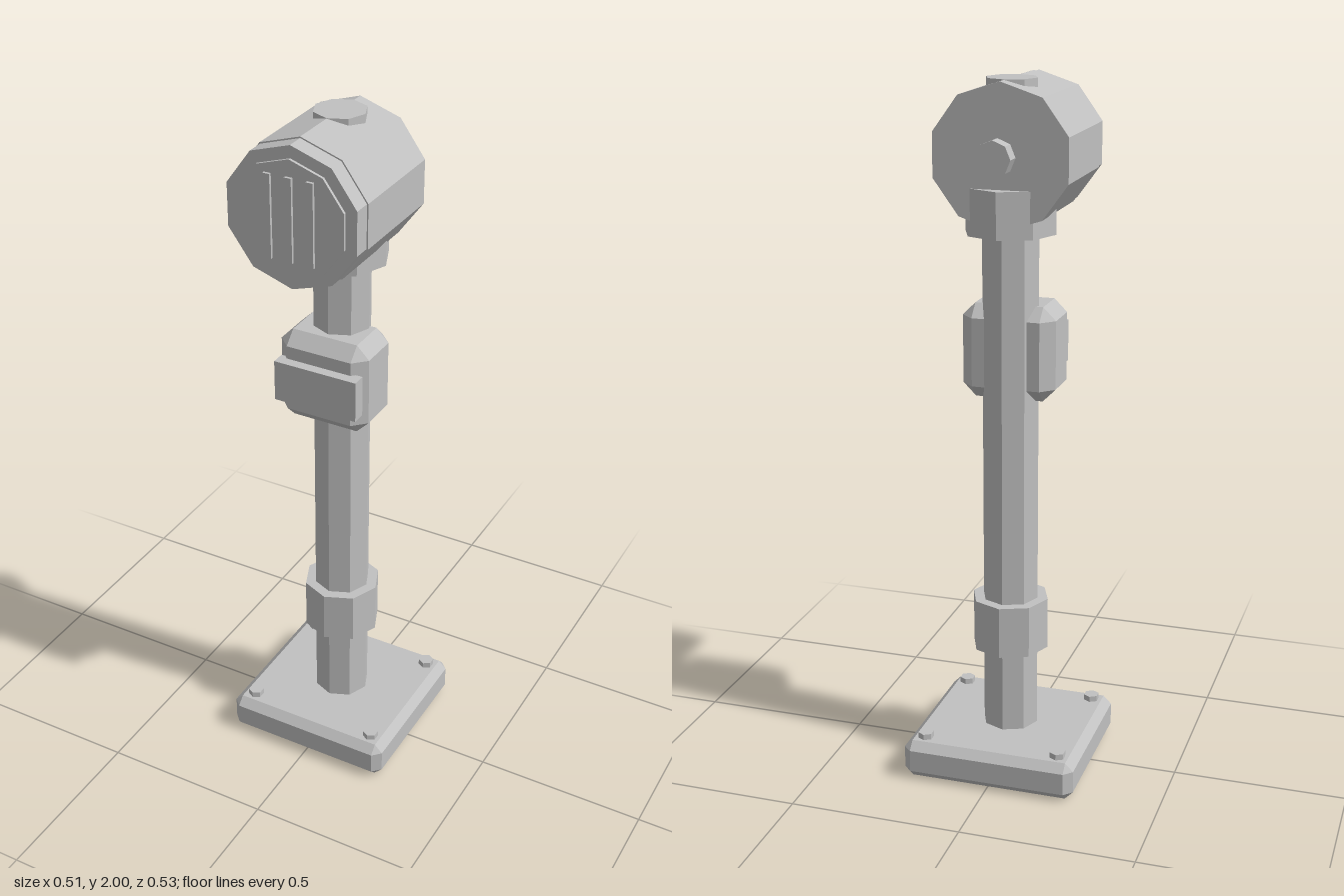
import * as THREE from 'three';
import { ConvexGeometry } from 'three/addons/geometries/ConvexGeometry.js';

const AXIS_Z = -0.02; // depth of the post's centre line

export function createModel() {
  const model = new THREE.Group();
  const grey = new THREE.MeshStandardMaterial({ color: 0xc0c0c0 });
  grey.flatShading = true;

  function add(name, geometry, x, y, z) {
    const mesh = new THREE.Mesh(geometry, grey);
    mesh.name = name;
    mesh.position.set(x, y, z);
    model.add(mesh);
    return mesh;
  }

  // Box with every edge and corner cut by c
  function chamferBox(w, h, d, c) {
    const [a, b, e] = [w / 2, h / 2, d / 2];
    const points = [];
    for (const i of [-1, 1]) for (const j of [-1, 1]) for (const k of [-1, 1]) {
      points.push(
        new THREE.Vector3(i * a, j * (b - c), k * (e - c)),
        new THREE.Vector3(i * (a - c), j * b, k * (e - c)),
        new THREE.Vector3(i * (a - c), j * (b - c), k * e));
    }
    return new ConvexGeometry(points);
  }

  // Upright prism between two heights
  function upright(name, r, y0, y1, sides, x = 0, z = AXIS_Z) {
    return add(name, new THREE.CylinderGeometry(r, r, y1 - y0, sides), x, (y0 + y1) / 2, z);
  }

  // Prism lying along z, with a corner at the top
  function lying(name, r, z0, z1, sides, y = 1.8) {
    const geometry = new THREE.CylinderGeometry(r, r, z1 - z0, sides).rotateX(-Math.PI / 2);
    return add(name, geometry, 0, y, (z0 + z1) / 2);
  }

  // Base plate and bolts
  add('basePlate', chamferBox(0.51, 0.113, 0.488, 0.024), 0, 0.0565, -0.021);
  for (const x of [-0.2, 0.2]) for (const z of [-0.21, 0.168]) {
    upright('baseBolt', 0.023, 0.1, 0.13, 6, x, z);
  }

  // Post with its collars
  upright('post', 0.082, 0.1, 1.65, 8);
  upright('lowerCollar', 0.113, 0.36, 0.513, 8);
  upright('neckCollar', 0.13, 1.585, 1.715, 8);

  // Control box with front plate
  add('controlBox', chamferBox(0.27, 0.27, 0.186, 0.037), 0, 1.25, 0.023);
  add('controlPlate', new THREE.BoxGeometry(0.25, 0.12, 0.04), 0.004, 1.25, 0.125);

  // Head, front rim and face
  lying('head', 0.199, -0.115, 0.197, 10);
  lying('frontRim', 0.195, 0.19, 0.247, 10);
  lying('face', 0.161, 0.24, 0.255, 10);
  for (const x of [-0.061, 0, 0.061]) {
    add('faceBar', new THREE.BoxGeometry(0.02, 0.23, 0.012), x, 1.8, 0.257);
  }

  // Top cap and rear knob
  upright('topCap', 0.072, 1.95, 2.0, 8, 0, -0.007);
  lying('rearKnob', 0.05, -0.18, -0.135, 8, 1.805);

  return model;
}
